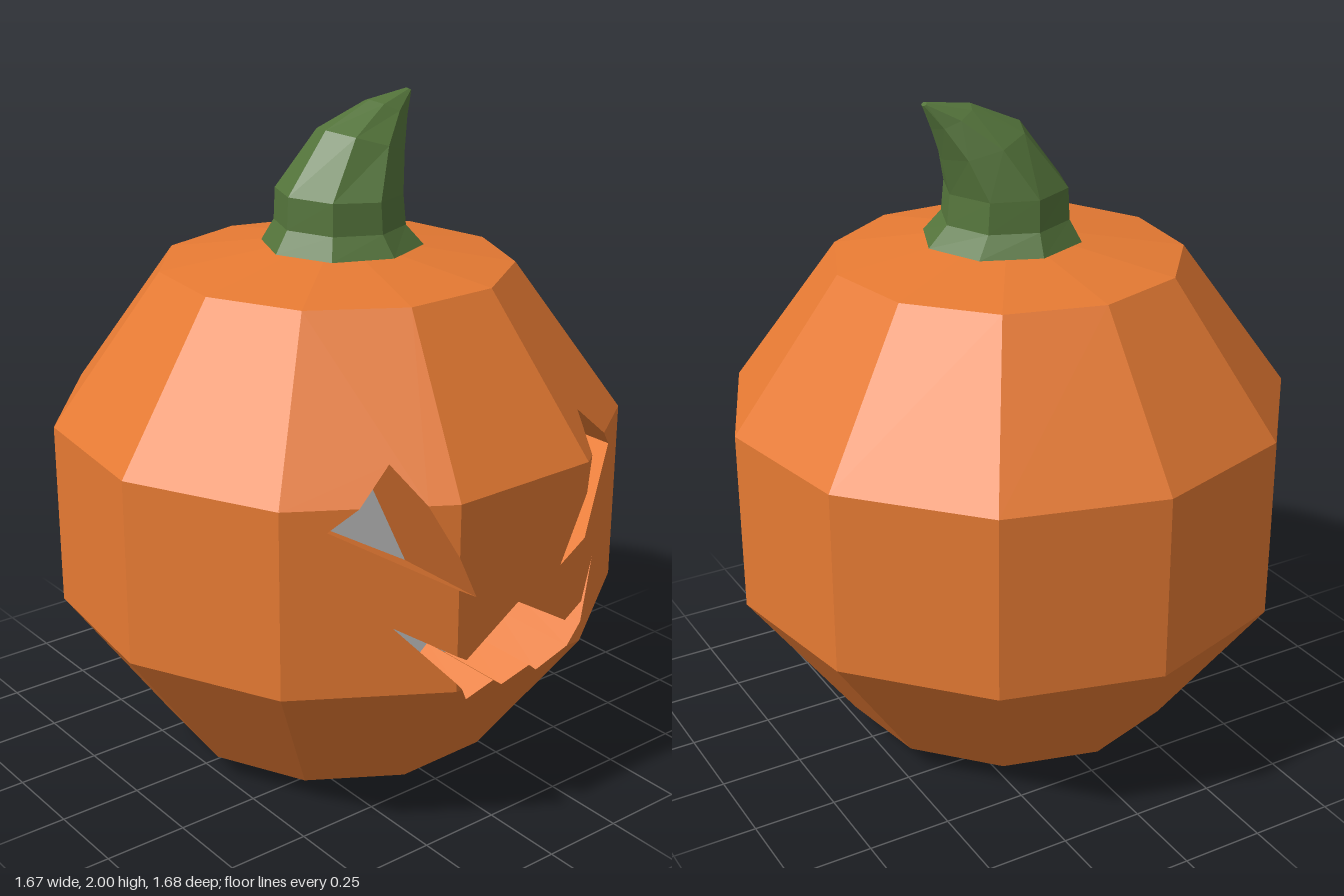
import * as THREE from 'three';

const V2 = (x, y) => new THREE.Vector2(x, y);
const V3 = (x, y, z) => new THREE.Vector3(x, y, z);

// Collects flat polygons (as triangle fans) into one mesh.
class Facets {
  constructor() { this.pos = []; }
  add(points) {
    for (let i = 1; i < points.length - 1; i++) {
      const t = new THREE.Triangle(points[0], points[i], points[i + 1]);
      if (t.getArea() < 1e-7) continue;
      this.pos.push(...t.a.toArray(), ...t.b.toArray(), ...t.c.toArray());
    }
  }
  mesh(name, material) {
    const g = new THREE.BufferGeometry();
    g.setAttribute('position', new THREE.Float32BufferAttribute(this.pos, 3));
    g.computeVertexNormals();
    const m = new THREE.Mesh(g, material);
    m.name = name;
    return m;
  }
}

// Signed distance-like value: positive when p is left of the line a-b.
const side = (a, b, p) => (b.x - a.x) * (p.y - a.y) - (b.y - a.y) * (p.x - a.x);

// Splits a convex 2D polygon by the line a-b.
function split(poly, a, b) {
  const inside = [], outside = [];
  poly.forEach((p, i) => {
    const q = poly[(i + 1) % poly.length];
    const sp = side(a, b, p), sq = side(a, b, q);
    if (sp >= 0) inside.push(p);
    if (sp <= 0) outside.push(p);
    if (sp * sq < 0) {
      const m = p.clone().lerp(q, sp / (sp - sq));
      inside.push(m);
      outside.push(m);
    }
  });
  return { inside, outside };
}

// Convex polygon minus a triangle, as convex pieces.
function subtract(poly, tri) {
  const pieces = [];
  let rest = poly;
  for (let i = 0; i < 3 && rest.length > 2; i++) {
    const s = split(rest, tri[i], tri[(i + 1) % 3]);
    if (s.outside.length > 2) pieces.push(s.outside);
    rest = s.inside;
  }
  return rest.length > 2 ? pieces : [poly];
}

// Part of the segment p-q inside a convex polygon, or null.
function clipSegment(p, q, poly) {
  let t0 = 0, t1 = 1;
  for (let i = 0; i < poly.length; i++) {
    const a = poly[i], b = poly[(i + 1) % poly.length];
    const sp = side(a, b, p), sq = side(a, b, q);
    if (sp < 0 && sq < 0) return null;
    if (sp < 0) t0 = Math.max(t0, sp / (sp - sq));
    else if (sq < 0) t1 = Math.min(t1, sp / (sp - sq));
  }
  return t1 - t0 > 1e-5 ? [p.clone().lerp(q, t0), p.clone().lerp(q, t1)] : null;
}

// Carved outlines on the +x side, as (-z, y), counter-clockwise.
const eye = [V2(0.16, 0.79), V2(0.525, 1.013), V2(0.345, 1.172)];
const mouth = [
  V2(-0.376, 0.727), V2(-0.137, 0.446), V2(-0.07, 0.5), V2(0, 0.446), V2(0.07, 0.5),
  V2(0.137, 0.446), V2(0.376, 0.727), V2(0.19, 0.61), V2(0, 0.727), V2(-0.19, 0.61),
];
const carvings = [eye, eye.map(p => V2(-p.x, p.y)).reverse(), mouth];
const FLOOR_X = 0.53;

function buildPumpkin(group, orange, white) {
  const SIDES = 11;
  const rings = [[0, 0.003], [0.525, 0.078], [0.85, 0.524], [0.85, 1.077], [0.525, 1.523], [0, 1.605]];
  const at = (i, k) => {
    const t = Math.PI + 0.018 + (k * 2 * Math.PI) / SIDES, r = rings[i][0];
    return V3(0.01 + r * Math.cos(t), rings[i][1], -r * Math.sin(t));
  };
  const triangles = carvings.flatMap(c =>
    THREE.ShapeUtils.triangulateShape(c, []).map(f => f.map(i => c[i])));
  const shell = new Facets(), walls = new Facets(), floors = new Facets();

  for (let i = 0; i < rings.length - 1; i++) {
    for (let k = 0; k < SIDES; k++) {
      const quad = [at(i, k), at(i, k + 1), at(i + 1, k + 1), at(i + 1, k)];
      const n = V3().crossVectors(quad[2].clone().sub(quad[0]), quad[3].clone().sub(quad[1])).normalize();
      // Only side facets that face the carving are cut
      if (i < 1 || i > 3 || n.x < 0.2) { shell.add(quad); continue; }
      const d = n.dot(quad[0]);
      const lift = p => V3((d - n.y * p.y + n.z * p.x) / n.x, p.y, -p.x);
      const flat = quad.map(p => V2(-p.z, p.y));
      let pieces = [flat];
      for (const tri of triangles) pieces = pieces.flatMap(p => subtract(p, tri));
      pieces.forEach(p => shell.add(p.map(lift)));
      // Cut walls from the skin back to the carving floor
      for (const c of carvings) {
        c.forEach((p, j) => {
          const s = clipSegment(p, c[(j + 1) % c.length], flat);
          if (!s) return;
          const [a, b] = s;
          walls.add([lift(a), lift(b), V3(FLOOR_X, b.y, -b.x), V3(FLOOR_X, a.y, -a.x)]);
        });
      }
    }
  }
  triangles.forEach(t => floors.add(t.map(p => V3(FLOOR_X, p.y, -p.x))));
  group.add(shell.mesh('pumpkinShell', orange), walls.mesh('carvedWalls', orange),
    floors.mesh('carvedFloors', white));
}

// Bent, tapering stem: each ring is [front z, front y, back z, back y, half width]
function buildStem(green) {
  const SIDES = 8;
  const rings = [
    [0.22, 1.575, -0.26, 1.575, 0.24],
    [0.18, 1.64, -0.2, 1.635, 0.2],
    [0.175, 1.735, -0.19, 1.725, 0.195],
    [0.04, 1.91, -0.215, 1.83, 0.13],
    [-0.12, 1.98, -0.245, 1.92, 0.062],
    [-0.26, 2.0, -0.272, 1.99, 0.012],
  ];
  const at = (j, k) => {
    const [fz, fy, bz, by, w] = rings[j];
    const a = (k * 2 * Math.PI) / SIDES, c = (1 + Math.cos(a)) / 2;
    return V3(0.012 + w * Math.sin(a), by + (fy - by) * c, bz + (fz - bz) * c);
  };
  const stem = new Facets();
  for (let j = 0; j < rings.length - 1; j++)
    for (let k = 0; k < SIDES; k++)
      stem.add([at(j, k), at(j, k + 1), at(j + 1, k + 1), at(j + 1, k)]);
  const cap = Array.from({ length: SIDES }, (_, k) => at(rings.length - 1, k));
  stem.add(cap);
  return stem.mesh('stem', green);
}

export function createModel() {
  const material = (name, color) => {
    const m = new THREE.MeshStandardMaterial({ color, flatShading: true });
    m.name = name;
    return m;
  };
  const group = new THREE.Group();
  group.name = 'carvedPumpkin';
  buildPumpkin(group, material('orange', 0xe67a33), material('paleGrey', 0xe6e6e6));
  group.add(buildStem(material('stemGreen', 0x54743b)));
  return group;
}
